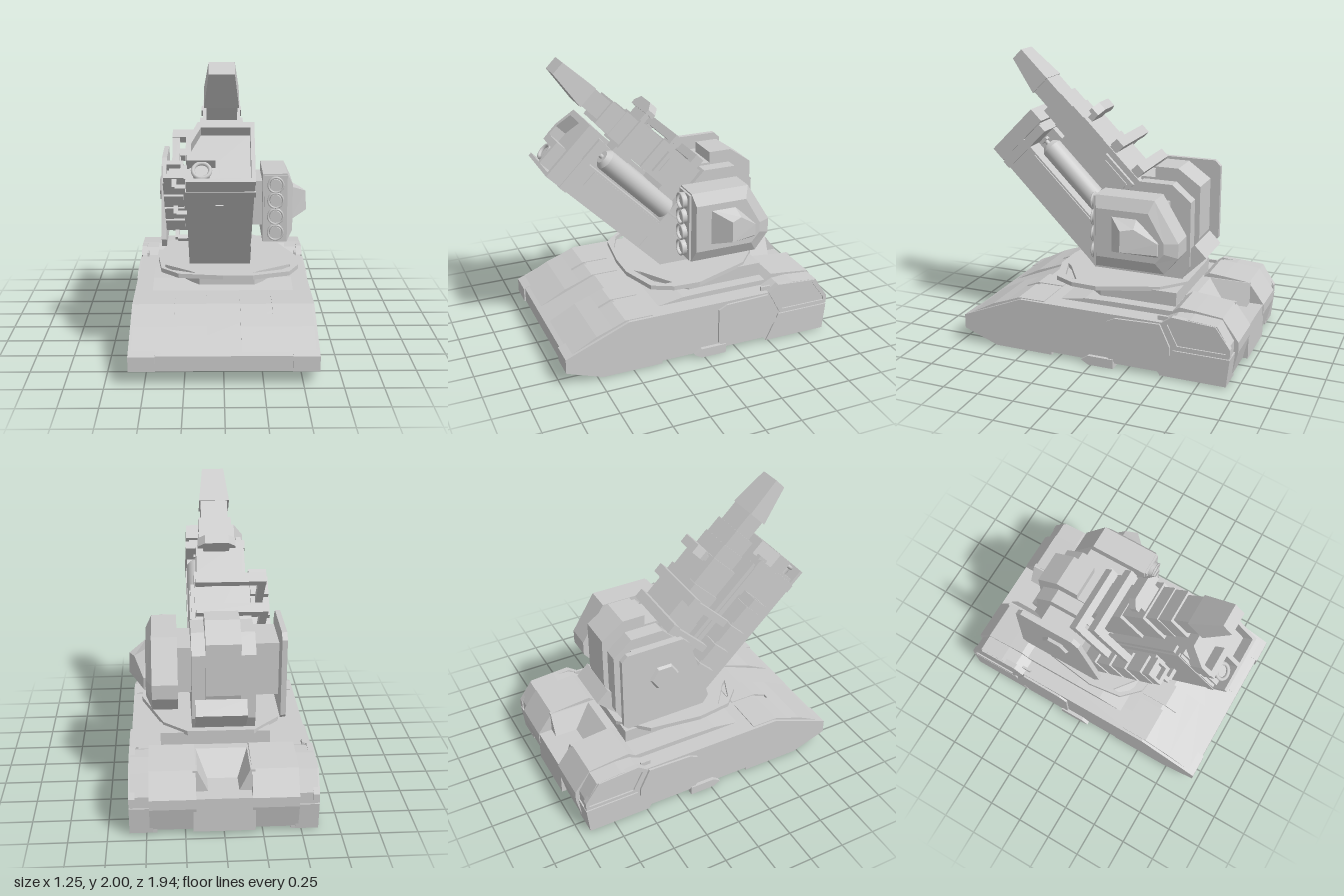
import * as THREE from 'three';

const grey = new THREE.MeshStandardMaterial({ color: 0xcccccc, flatShading: true });
const smooth = new THREE.MeshStandardMaterial({ color: 0xcccccc });
const open = new THREE.MeshStandardMaterial({ color: 0xcccccc, side: THREE.DoubleSide });

function add(parent, name, geo, mat = grey) {
  const mesh = new THREE.Mesh(geo, mat);
  mesh.name = name;
  parent.add(mesh);
  return mesh;
}

// box by limits; "front" optionally gives other x/y limits at the z1 end
function block(parent, name, x0, x1, y0, y1, z0, z1, front = [x0, x1, y0, y1]) {
  const geo = new THREE.BoxGeometry(1, 1, 1);
  const p = geo.attributes.position;
  for (let i = 0; i < p.count; i++) {
    const l = p.getZ(i) > 0 ? front : [x0, x1, y0, y1];
    p.setXYZ(i, p.getX(i) > 0 ? l[1] : l[0], p.getY(i) > 0 ? l[3] : l[2], p.getZ(i) > 0 ? z1 : z0);
  }
  geo.computeVertexNormals();
  return add(parent, name, geo);
}

const toShape = pts => new THREE.Shape(pts.map(p => new THREE.Vector2(...p)));

// outline in (x, y) extruded from z0 to z1
function along(parent, name, pts, z0, z1, hole) {
  const s = toShape(pts);
  if (hole) s.holes.push(toShape(hole));
  const geo = new THREE.ExtrudeGeometry(s, { depth: z1 - z0, bevelEnabled: false });
  return add(parent, name, geo.translate(0, 0, z0));
}

// side profile in (z, y) extruded from x0 to x1
function side(parent, name, pts, x0, x1, hole) {
  const s = toShape(pts);
  if (hole) s.holes.push(toShape(hole));
  const geo = new THREE.ExtrudeGeometry(s, { depth: x1 - x0, bevelEnabled: false });
  return add(parent, name, geo.rotateY(-Math.PI / 2).translate(x1, 0, 0));
}

// plan outline in (x, z) extruded from y0 to y1
function plan(parent, name, pts, y0, y1, holes = []) {
  const flip = a => a.map(([x, z]) => [x, -z]);
  const s = toShape(flip(pts));
  holes.forEach(h => s.holes.push(toShape(flip(h))));
  const geo = new THREE.ExtrudeGeometry(s, { depth: y1 - y0, bevelEnabled: false });
  return add(parent, name, geo.rotateX(-Math.PI / 2).translate(0, y0, 0));
}

// convex (z, y) profiles joined along rising x: sections = [[x, pts], ...]; a point may carry its own x
function loft(parent, name, sections) {
  const rings = sections.map(([x, pts]) => {
    const v = pts.map(([z, y, px = x]) => new THREE.Vector3(px, y, z));
    return THREE.ShapeUtils.area(pts.map(p => new THREE.Vector2(p[0], p[1]))) < 0 ? v.reverse() : v;
  });
  const out = [], n = rings[0].length, last = rings[rings.length - 1];
  for (let i = 1; i < n - 1; i++) out.push(rings[0][0], rings[0][i], rings[0][i + 1], last[0], last[i + 1], last[i]);
  for (let k = 0; k + 1 < rings.length; k++) for (let i = 0; i < n; i++) {
    const a = rings[k], b = rings[k + 1], j = (i + 1) % n;
    out.push(a[i], b[i], b[j], a[i], b[j], a[j]);
  }
  const geo = new THREE.BufferGeometry().setFromPoints(out);
  geo.computeVertexNormals();
  return add(parent, name, geo);
}

function rod(parent, name, r, x, y, z0, z1, r2 = r) {
  const geo = new THREE.CylinderGeometry(r2, r, z1 - z0, 24).rotateX(Math.PI / 2);
  return add(parent, name, geo.translate(x, y, (z0 + z1) / 2), smooth);
}

function ring(parent, name, r, tube, x, y, z) {
  return add(parent, name, new THREE.TorusGeometry(r, tube, 8, 24).translate(x, y, z), smooth);
}

function buildHull(g) {
  // hollow centre: nose plate and deck, open underneath
  side(g, 'centreHull', [[0.96, 0.1], [0.96, 0.2], [0.53, 0.38], [-0.6, 0.38], [-0.6, 0.28], [0.5, 0.28]], -0.44, 0.44);
  for (const s of [-1, 1]) {
    const span = (a, b) => (s > 0 ? [a, b] : [-b, -a]);
    side(g, 'sideHull', [[0.97, 0.1], [0.97, 0.2], [0.53, 0.38], [-0.49, 0.38], [-0.57, 0.42], [-0.68, 0.425],
      [-0.86, 0.41], [-0.94, 0.28], [-0.94, 0.2], [-0.93, 0.01], [-0.48, 0.01], [-0.46, 0.03], [0.3, 0.03],
      [0.3, 0.01], [0.72, 0.01]], ...span(0.43, 0.6));
    // armour on the front slope, split by a slot towards the deck
    side(g, 'slopePlate', [[0.93, 0.215], [0.75, 0.31], [0.64, 0.35], [0.64, 0.32]], ...span(0.11, 0.58));
    for (const [a, b] of [[0.11, 0.28], [0.32, 0.58]])
      side(g, 'slopePlateRear', [[0.64, 0.35], [0.55, 0.386], [0.36, 0.386], [0.36, 0.37], [0.64, 0.32]], ...span(a, b));
    // skirt panel, foot and rear window frame
    side(g, 'skirtPanel', [[-0.11, 0.08], [-0.11, 0.33], [-0.17, 0.36], [-0.48, 0.37], [-0.55, 0.22], [-0.55, 0.16],
      [-0.46, 0.05], [-0.14, 0.05]], ...span(0.58, 0.615));
    side(g, 'foot', [[0.07, 0.03], [0.02, 0.065], [-0.16, 0.065], [-0.16, 0], [0.02, 0]], ...span(0.5, 0.625));
    side(g, 'rearWindowFrame', [[-0.49, 0.38], [-0.56, 0.43], [-0.85, 0.41], [-0.95, 0.27], [-0.95, 0.21], [-0.58, 0.21]],
      ...span(0.57, 0.61), [[-0.53, 0.375], [-0.58, 0.41], [-0.83, 0.39], [-0.925, 0.26], [-0.925, 0.235], [-0.6, 0.235]]);
    side(g, 'rearCorner', [[-0.93, 0.01], [-0.48, 0.01], [-0.57, 0.2], [-0.95, 0.2]], ...span(0.46, 0.61));
    block(g, 'deckHook', ...span(0.55, 0.565), 0.38, 0.41, -0.52, -0.45);
    // rear deck halves, with inner walls leaning towards the trough
    side(g, 'rearDeck', [[-0.5, 0.03], [-0.93, 0.03], [-0.97, 0.2], [-0.97, 0.27], [-0.86, 0.42], [-0.68, 0.44],
      [-0.57, 0.45], [-0.5, 0.4]], ...span(0.18, 0.48));
    along(g, 'troughWall', [[s * 0.08, 0.25], [s * 0.2, 0.25], [s * 0.2, 0.42], [s * 0.17, 0.42], [s * 0.1, 0.27]], -0.87, -0.55);
  }
  // rear trough floor and ramp
  block(g, 'troughFloor', -0.2, 0.2, 0.03, 0.27, -0.965, -0.5);
  side(g, 'troughRamp', [[-0.72, 0.26], [-0.58, 0.42], [-0.3, 0.42], [-0.3, 0.3], [-0.58, 0.26]], -0.2, 0.2);
  side(g, 'deckRise', [[0.34, 0.37], [0.1, 0.41], [-0.1, 0.415], [-0.55, 0.415], [-0.55, 0.37]], -0.48, 0.48);
}

function buildTurret(g) {
  plan(g, 'turretBase', [[-0.33, -0.52], [0.4, -0.52], [0.4, 0.02], [0.22, 0.22], [-0.16, 0.22], [-0.33, 0.04]], 0.4, 0.51);
  const slot = s => [[0.2, 0.35], [0.24, 0.31], [0.46, 0.17], [0.46, 0.22], [0.4, 0.28]].map(([x, z]) => [s > 0 ? x : -x * 0.82 - 0.02, z]);
  plan(g, 'turretPlate', [[-0.45, 0], [-0.42, 0.24], [-0.3, 0.36], [0, 0.4], [0.2, 0.4], [0.45, 0.32], [0.52, 0.18],
    [0.53, 0], [0.38, -0.4], [0.22, -0.54], [-0.22, -0.54], [-0.4, -0.36]], 0.5, 0.53, [slot(1), slot(-1)]);

  // rear housing with raised spine
  side(g, 'housing', [[0.15, 0.53], [-0.49, 0.53], [-0.54, 0.62], [-0.54, 1.07], [-0.41, 1.18], [-0.18, 1.18], [0.3, 0.7]], -0.23, 0.19);
  side(g, 'spine', [[0, 0.7], [-0.55, 0.72], [-0.575, 0.8], [-0.575, 1.16], [-0.42, 1.27], [-0.26, 1.27], [-0.26, 1.195],
    [-0.16, 1.195]], -0.13, 0.1);
  block(g, 'podMount', 0.15, 0.3, 0.75, 1.07, -0.4, -0.05);

  // armour shield standing off the right side
  block(g, 'shieldMount', -0.4, -0.2, 0.73, 1.1, -0.42, -0.08);
  side(g, 'sideShield', [[-0.57, 0.65], [-0.57, 1.18], [-0.53, 1.22], [-0.13, 1.22], [-0.08, 1.17], [0.07, 0.68],
    [0.03, 0.62], [-0.54, 0.62]], -0.425, -0.39);
  loft(g, 'shieldHexagon', [[-0.445, 0.85], [-0.42, 1]].map(([x, k]) => [x, [0, 1, 2, 3, 4, 5].map(i =>
    [-0.27 + 0.11 * k * Math.cos(i * Math.PI / 3), 0.97 + 0.1 * k * Math.sin(i * Math.PI / 3)])]));

  // rocket pod on the left side
  const pod = new THREE.Group();
  pod.name = 'rocketPod';
  g.add(pod);
  const outer = [[0.03, 0.65], [0.03, 1.14], [-0.38, 1.14], [-0.545, 0.87], [-0.545, 0.77], [-0.45, 0.65]];
  const inner = [[0.01, 0.73], [0.01, 1.06], [-0.35, 1.06], [-0.46, 0.87], [-0.46, 0.8], [-0.4, 0.73]];
  loft(pod, 'podShell', [[0.28, outer], [0.45, outer], [0.49, inner]]);
  // forward-facing scoop, falling away to the rear
  loft(pod, 'podScoop', [[0.48, [[-0.09, 0.77], [-0.09, 1.02], [-0.27, 1.02], [-0.425, 0.87], [-0.425, 0.77]]],
    [0.6, [[-0.2, 0.82, 0.605], [-0.2, 0.96], [-0.28, 0.97, 0.565], [-0.42, 0.87, 0.505], [-0.42, 0.79, 0.505]]]]);
  block(pod, 'podFace', 0.29, 0.45, 0.66, 1.13, 0.02, 0.045);
  for (const y of [0.73, 0.845, 0.96, 1.07]) {
    ring(pod, 'tubeRim', 0.052, 0.007, 0.367, y, 0.075);
    add(pod, 'tube', new THREE.CylinderGeometry(0.055, 0.055, 0.04, 24, 1, true).rotateX(Math.PI / 2).translate(0.367, y, 0.06), open);
    rod(pod, 'rocketTip', 0.042, 0.367, y, 0.04, 0.065, 0.038);
  }
}

// gun is laid along z and then raised by 45 degrees
function buildGun(g) {
  block(g, 'gunLower', -0.23, 0.185, 0.27, 0.5, 0.45, 1.47);
  block(g, 'gunUpper', -0.23, 0.05, 0.48, 0.66, 0.4, 1.47);
  block(g, 'gunTopRail', -0.22, -0.17, 0.65, 0.69, 0.6, 1.42);
  block(g, 'undersideRib', -0.05, 0, 0.262, 0.3, 0.5, 1.3);
  block(g, 'sidePlate', 0.17, 0.195, 0.375, 0.488, 0.42, 1.336);
  block(g, 'gunCollar', -0.235, 0.195, 0.265, 0.67, 1.4, 1.46);
  // muzzle frame, open at its lower right, with a recessed sight
  along(g, 'muzzleFrame', [[-0.23, 0.27], [0.19, 0.27], [0.19, 0.7], [-0.16, 0.7], [-0.23, 0.55], [-0.23, 0.46], [-0.2, 0.46],
    [-0.2, 0.54], [-0.14, 0.66], [0.165, 0.66], [0.165, 0.295], [-0.23, 0.295]], 1.47, 1.577);
  block(g, 'muzzleFloor', -0.21, 0.17, 0.29, 0.67, 1.44, 1.49);
  along(g, 'sightBracket', [[-0.225, 0.42], [-0.225, 0.47], [-0.02, 0.47], [-0.02, 0.29], [-0.05, 0.29], [-0.05, 0.42]], 1.48, 1.577);
  ring(g, 'sightRing', 0.052, 0.013, -0.135, 0.365, 1.55);
  rod(g, 'sightLens', 0.052, -0.135, 0.365, 1.48, 1.54);
  // gas cylinder
  rod(g, 'gasCylinder', 0.073, 0.118, 0.59, 0.55, 1.3);
  rod(g, 'gasCylinderEnd', 0.073, 0.118, 0.59, 1.3, 1.33, 0.045);
  rod(g, 'gasValve', 0.015, 0.118, 0.59, 1.33, 1.38);
  block(g, 'gasValveCap', 0.1, 0.14, 0.565, 0.615, 1.36, 1.38);

  // upper barrel: breech, steps and tapered tip
  block(g, 'breechMount', -0.15, 0.13, 0.62, 0.72, 0.45, 0.85);
  block(g, 'breech', -0.17, 0.15, 0.7, 0.942, 0.45, 1.08);
  block(g, 'breechPanel', 0.13, 0.175, 0.73, 0.9, 0.72, 1);
  block(g, 'breechPanelInset', 0.17, 0.185, 0.76, 0.87, 0.75, 0.97);
  block(g, 'barrelSleeve', -0.15, 0.13, 0.7, 0.935, 1.08, 1.29);
  block(g, 'barrelMount', -0.1, 0.02, 0.64, 0.72, 1.1, 1.25);
  block(g, 'barrelBase', -0.13, 0.11, 0.72, 0.92, 1.29, 1.4);
  block(g, 'barrelCollar', -0.125, 0.105, 0.725, 0.91, 1.4, 1.52);
  block(g, 'barrelNeck', -0.105, 0.085, 0.755, 0.895, 1.52, 1.665);
  block(g, 'barrelTip', -0.12, 0.095, 0.745, 0.9, 1.665, 1.94, [-0.09, 0.065, 0.79, 0.884]);
  block(g, 'frontSightPost', -0.1, 0.08, 0.93, 1.01, 1.235, 1.275);
  along(g, 'frontSight', [[-0.14, 0.99], [0.12, 0.99], [0.12, 1.02], [0.07, 1.065], [-0.09, 1.065], [-0.14, 1.02]], 1.23, 1.295);
  for (const [u, v] of [[0.77, 1.01], [0.99, 1.02]]) {
    block(g, 'handleBar', -0.34, 0.145, v - 0.06, v, u - 0.035, u + 0.035);
    block(g, 'handlePost', 0.08, 0.14, 0.92, v - 0.03, u - 0.03, u + 0.03);
    block(g, 'handleArm', -0.34, -0.29, 0.6, v, u - 0.025, u + 0.025);
  }
  // tilted wedge closing the rear foot
  block(g, 'rearFoot', -0.17, 0.17, 0.6, 0.947, 0.03, 0.145);

  // segmented feed beside the gun, held by hooks
  block(g, 'feedRail', -0.35, -0.22, 0.52, 0.62, 0.5, 1.2);
  for (let i = 0; i < 4; i++) {
    const u = 0.54 + i * 0.165;
    block(g, 'feedSegment', -0.39, -0.26, 0.5, 0.65, u, u + 0.14);
  }
  for (const u of [0.53, 0.87, 1.21]) {
    block(g, 'feedHook', -0.33, -0.3, 0.44, 0.51, u - 0.02, u + 0.02);
    block(g, 'feedHookArm', -0.31, -0.22, 0.43, 0.46, u - 0.02, u + 0.02);
  }
  along(g, 'feedMouth', [[-0.385, 0.5], [-0.255, 0.5], [-0.255, 0.63], [-0.385, 0.63]], 1.17, 1.245,
    [[-0.365, 0.53], [-0.275, 0.53], [-0.275, 0.6], [-0.365, 0.6]]);
}

export function createModel() {
  const model = new THREE.Group();
  model.name = 'turretGun';
  const parts = { hull: buildHull, turret: buildTurret, gun: buildGun };
  for (const [name, build] of Object.entries(parts)) {
    const g = new THREE.Group();
    g.name = name;
    build(g);
    model.add(g);
    if (name === 'gun') g.rotation.x = -Math.PI / 4;
  }
  return model;
}
